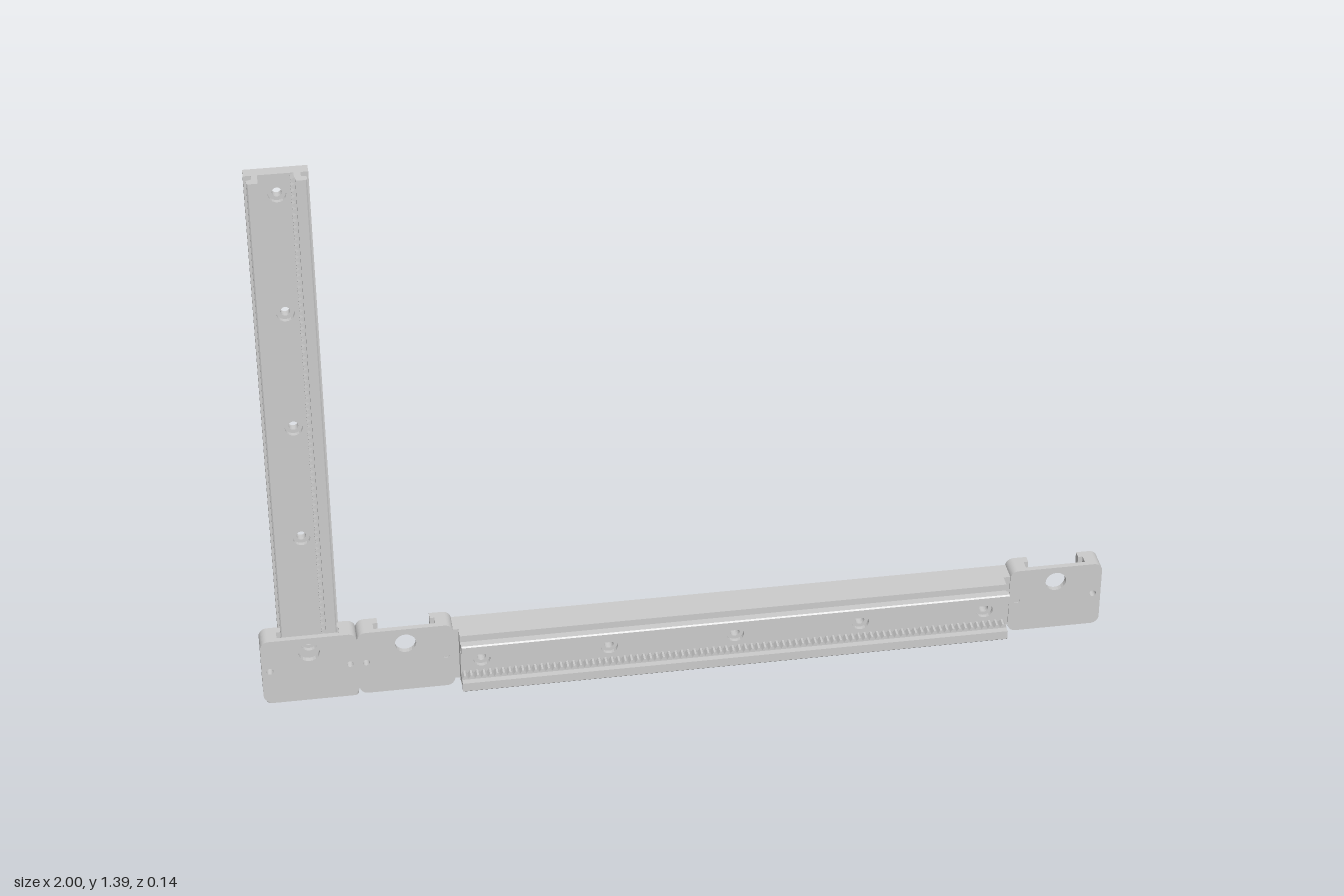
import * as THREE from 'three';

const material = new THREE.MeshStandardMaterial({ color: 0xcccccc });

// Rectangle with separate corner radii for its left and right ends; holes are [x, y, radius].
function plateShape(x0, x1, y0, y1, rLeft, rRight, holes = []) {
  const s = new THREE.Shape();
  s.moveTo(x0 + rLeft, y0);
  s.lineTo(x1 - rRight, y0);
  if (rRight) s.absarc(x1 - rRight, y0 + rRight, rRight, -Math.PI / 2, 0);
  s.lineTo(x1, y1 - rRight);
  if (rRight) s.absarc(x1 - rRight, y1 - rRight, rRight, 0, Math.PI / 2);
  s.lineTo(x0 + rLeft, y1);
  if (rLeft) s.absarc(x0 + rLeft, y1 - rLeft, rLeft, Math.PI / 2, Math.PI);
  s.lineTo(x0, y0 + rLeft);
  if (rLeft) s.absarc(x0 + rLeft, y0 + rLeft, rLeft, Math.PI, Math.PI * 1.5);
  for (const [x, y, r] of holes) {
    s.holes.push(new THREE.Path().absarc(x, y, r, 0, Math.PI * 2, true));
  }
  return s;
}

// Extrude a shape from z0 to z1.
function slab(name, shape, z0, z1) {
  const geo = new THREE.ExtrudeGeometry(shape, { depth: z1 - z0, bevelEnabled: false, curveSegments: 10 });
  geo.translate(0, 0, z0);
  const mesh = new THREE.Mesh(geo, material);
  mesh.name = name;
  return mesh;
}

// Slide rail along y: drilled base, two hooked lips and a toothed rack on one side.
function createRail(name) {
  const rail = new THREE.Group();
  rail.name = name;
  const half = 0.65;
  const drill = r => [-0.6, -0.3, 0, 0.3, 0.6].map(y => [0, y, r]);
  rail.add(slab('railBase', plateShape(-0.07, 0.07, -half, half, 0, 0, drill(0.011)), -0.029, -0.01));
  rail.add(slab('railCounterboredFace', plateShape(-0.07, 0.07, -half, half, 0, 0, drill(0.02)), -0.01, 0));

  const profile = [[0.04, 0], [0.053, 0], [0.053, 0.017], [0.065, 0.021], [0.065, 0.034], [0.062, 0.037], [0.04, 0.037]];
  for (const side of [-1, 1]) {
    const s = new THREE.Shape(profile.map(([u, w]) => new THREE.Vector2(side * u, -w)));
    const lip = slab('railLip', s, -half, half);
    lip.geometry.rotateX(-Math.PI / 2);
    rail.add(lip);
  }

  const teeth = new THREE.Shape();
  const count = 86, pitch = 2 * half / count;
  teeth.moveTo(0.041, -half);
  teeth.lineTo(0.038, -half);
  for (let i = 0; i < count; i++) {
    const y = -half + i * pitch;
    teeth.lineTo(0.030, y + pitch * 0.35);
    teeth.lineTo(0.030, y + pitch * 0.65);
    teeth.lineTo(0.038, y + pitch);
  }
  teeth.lineTo(0.041, half);
  rail.add(slab('rackTeeth', teeth, 0, 0.022));
  return rail;
}

// Carriage bracket: drilled front plate with hooked jaws behind it at both sides.
function createBracket(name, x) {
  const bracket = new THREE.Group();
  bracket.name = name;
  bracket.position.x = x;
  const y0 = 0.02, y1 = 0.193, w = 0.112, r = 0.02;
  const screw = [[-0.093, 0.108, 0.008], [0.093, 0.108, 0.008]];
  bracket.add(slab('bracketPlate', plateShape(-w, w, y0, y1, r, r, [[0, 0.153, 0.025], ...screw]), -0.004, 0.009));
  for (const [inner, z0, z1] of [[0.072, -0.026, -0.004], [0.061, -0.046, -0.026]]) {
    bracket.add(slab('leftJaw', plateShape(inner, w, y0, y1, 0, r, [screw[1]]), z0, z1));
    bracket.add(slab('rightJaw', plateShape(-w, -inner, y0, y1, r, 0, [screw[0]]), z0, z1));
  }
  return bracket;
}

// Foot below the upright: wide drilled back plate and a slotted bottom.
function createFoot(x) {
  const foot = new THREE.Group();
  foot.name = 'foot';
  foot.position.x = x;
  const w = 0.108;
  foot.add(slab('footPlate', plateShape(-w, w, 0, 0.1, 0.018, 0.018,
    [[0, 0.045, 0.02], [-0.09, 0.06, 0.007], [0.09, 0.06, 0.007]]), -0.072, -0.046));

  // Bottom ring drawn in x and depth, then laid flat
  const ring = plateShape(-w, w, 0.013, 0.072, 0.012, 0.012);
  ring.holes.push(new THREE.Path([[-0.04, 0.018], [-0.04, 0.045], [0.03, 0.045], [0.03, 0.018]]
    .map(p => new THREE.Vector2(...p))));
  const bottom = slab('footBottom', ring, 0, 0.02);
  bottom.geometry.rotateX(-Math.PI / 2);
  foot.add(bottom);

  // Cheeks joining the bottom to the rail end
  for (const side of [-1, 1]) {
    const cheek = new THREE.Mesh(new THREE.BoxGeometry(0.014, 0.075, 0.034), material);
    cheek.name = 'footCheek';
    cheek.position.set(side * 0.047, 0.053, -0.029);
    foot.add(cheek);
  }
  return foot;
}

export function createModel() {
  const model = new THREE.Group();
  model.name = 'slideRailAssembly';

  // Upright rail
  const upright = createRail('uprightRail');
  upright.position.set(-0.885, 0.74, -0.043);
  model.add(upright, createFoot(-0.885));

  // Crosswise rail on its backing beam
  const cross = createRail('crossRail');
  cross.rotation.z = -Math.PI / 2;
  cross.position.set(0.11, 0.107, 0.035);
  model.add(cross);
  const bolts = [-0.56, -0.49, -0.19, 0.11, 0.41, 0.71, 0.78].map(x => [x, 0.107, 0.011]);
  model.add(slab('crossBeam', plateShape(-0.59, 0.81, 0.037, 0.177, 0, 0, bolts.slice(1, 6)), -0.044, 0.006));

  // Brackets
  model.add(createBracket('uprightBracket', -0.888));
  model.add(createBracket('rightBracket', -0.664));
  model.add(createBracket('leftBracket', 0.888));
  return model;
}
